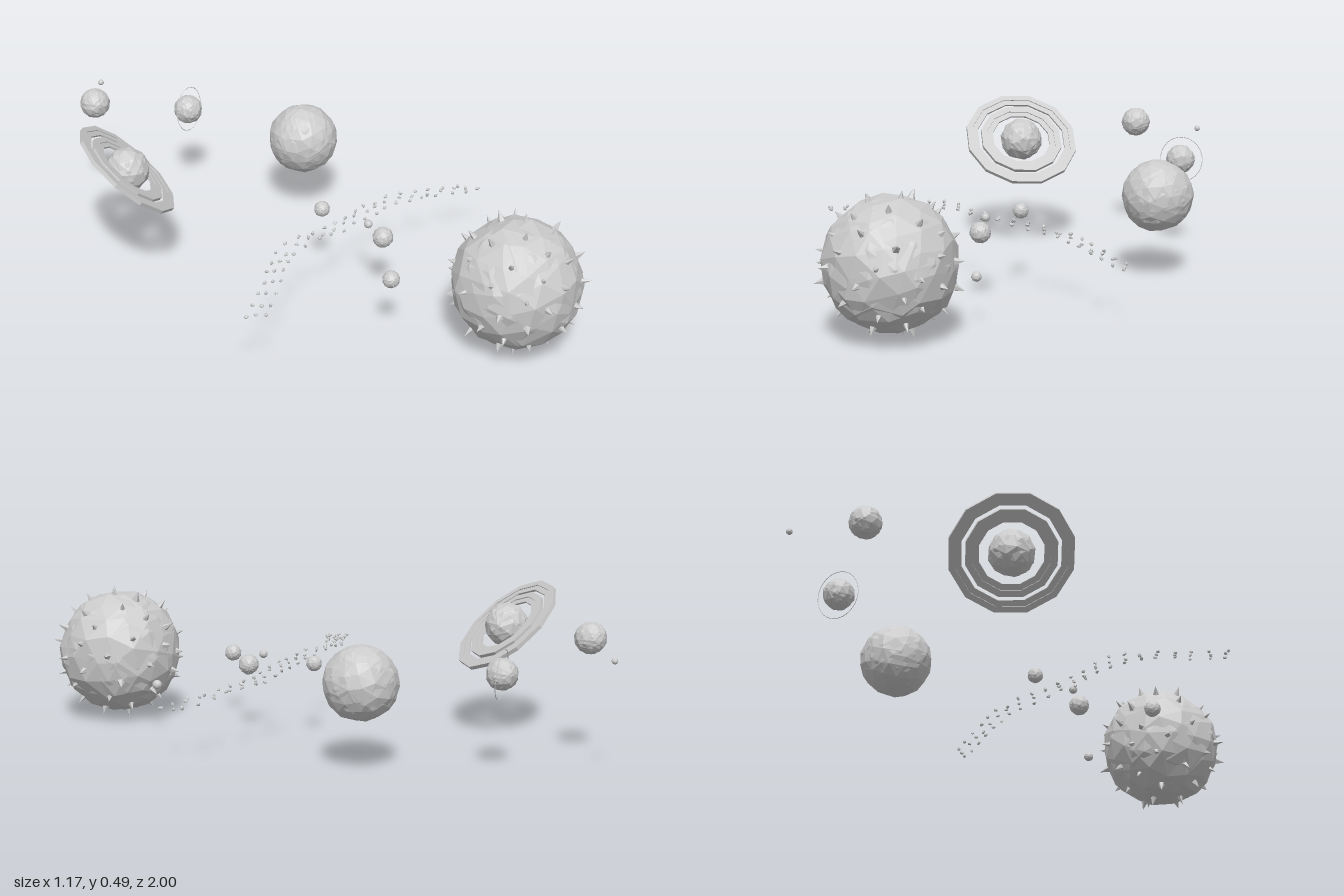
import * as THREE from 'three';
import { mergeGeometries } from 'three/addons/utils/BufferGeometryUtils.js';

const material = new THREE.MeshStandardMaterial({ color: 0xcccccc, flatShading: true, side: THREE.DoubleSide });

// Small seeded random generator
function seeded(seed) {
  let s = seed;
  return () => {
    s = (s * 16807) % 2147483647;
    return s / 2147483647;
  };
}

// Faceted ball: coincident corners are shifted together so the shell stays closed
function rockyShell(radius, detail, rough, seed) {
  const geometry = new THREE.IcosahedronGeometry(1, detail);
  const rand = seeded(seed * 7919 + 13);
  const position = geometry.attributes.position;
  const moved = new Map();
  const v = new THREE.Vector3();
  for (let i = 0; i < position.count; i++) {
    v.fromBufferAttribute(position, i);
    const key = v.toArray().map((n) => Math.round(n * 1000)).join();
    if (!moved.has(key)) {
      const shift = new THREE.Vector3(rand() - 0.5, rand() - 0.5, rand() - 0.5).multiplyScalar(0.35 / (detail + 1));
      moved.set(key, v.clone().add(shift).normalize().multiplyScalar(radius * (1 + (rand() - 0.5) * rough)));
    }
    position.setXYZ(i, ...moved.get(key).toArray());
  }
  geometry.computeVertexNormals();
  return geometry;
}

// Two crossing shells give the chipped, cracked surface
function crackedBall(radius, detail, rough, seed) {
  const second = rockyShell(radius, detail, rough, seed + 50);
  second.rotateX(0.7).rotateY(1.1);
  return mergeGeometries([rockyShell(radius, detail, rough, seed), second]);
}

function addMesh(parent, name, geometry, x = 0, y = 0, z = 0) {
  const mesh = new THREE.Mesh(geometry, material);
  mesh.name = name;
  mesh.position.set(x, y, z);
  parent.add(mesh);
  return mesh;
}

// Flat ring with a rectangular section around the y axis
function flatRing(inner, outer, thickness, sides) {
  const h = thickness / 2;
  const section = [[inner, -h], [outer, -h], [outer, h], [inner, h], [inner, -h]];
  return new THREE.LatheGeometry(section.map(([r, y]) => new THREE.Vector2(r, y)), sides);
}

function buildSun() {
  const sun = new THREE.Group();
  sun.name = 'sun';
  sun.position.set(0.083, 0.22, 0.783);
  addMesh(sun, 'sunBody', crackedBall(0.202, 2, 0.05, 3));

  // Spikes spread evenly over the surface
  const rand = seeded(421);
  const up = new THREE.Vector3(0, 1, 0);
  const count = 58;
  const spikes = [];
  for (let i = 0; i < count; i++) {
    const y = 1 - (2 * (i + 0.5)) / count;
    const angle = i * 2.39996 + (rand() - 0.5) * 0.3;
    const r = Math.sqrt(1 - y * y);
    const direction = new THREE.Vector3(r * Math.cos(angle), y, r * Math.sin(angle));
    const height = 0.045 + rand() * 0.012;
    const cone = new THREE.ConeGeometry(0.016 + rand() * 0.006, height, 5);
    cone.translate(0, 0.175 + height / 2, 0);
    cone.applyQuaternion(new THREE.Quaternion().setFromUnitVectors(up, direction));
    spikes.push(cone);
  }
  addMesh(sun, 'sunSpikes', mergeGeometries(spikes));
  return sun;
}

function buildRingedPlanet() {
  const planet = new THREE.Group();
  planet.name = 'ringedPlanet';
  planet.position.set(-0.34, 0.352, -0.459);
  planet.quaternion.setFromUnitVectors(new THREE.Vector3(0, 1, 0), new THREE.Vector3(0.5, 0.744, 0.44).normalize());
  addMesh(planet, 'ringedPlanetBody', crackedBall(0.073, 1, 0.04, 21));
  // Inner radius, outer radius, thickness
  const bands = [[0.102, 0.122, 0.006], [0.122, 0.144, 0.012], [0.156, 0.176, 0.007], [0.176, 0.196, 0.013]];
  bands.forEach(([inner, outer, thickness], i) => addMesh(planet, `ringBand${i + 1}`, flatRing(inner, outer, thickness, 12)));
  return planet;
}

function buildAsteroidBelt() {
  const belt = new THREE.Group();
  belt.name = 'asteroidBelt';
  const path = new THREE.CatmullRomCurve3([
    [-0.59, 0.213, 0.31], [-0.45, 0.228, 0.245], [-0.27, 0.24, 0.155], [-0.1, 0.238, 0.16],
    [0.1, 0.22, 0.16], [0.25, 0.205, 0.15], [0.4, 0.19, 0.205], [0.58, 0.167, 0.265],
  ].map((p) => new THREE.Vector3(...p)));
  const rand = seeded(77);
  const count = 66;
  for (let i = 0; i < count; i++) {
    const p = path.getPointAt((i + rand() * 0.6) / count);
    const row = ((i % 3) - 1) * 0.027 + (rand() - 0.5) * 0.012;
    const rock = addMesh(belt, 'asteroid', rockyShell(0.0075, 0, 0.4, i + 100), p.x, p.y + (rand() - 0.5) * 0.012, p.z + row);
    rock.scale.set(1.1, 0.7, 0.8);
    rock.rotation.set(rand() * 3, rand() * 3, rand() * 0.6);
  }
  return belt;
}

export function createModel() {
  const model = new THREE.Group();
  model.name = 'planetarySystem';
  model.add(buildSun(), buildRingedPlanet(), buildAsteroidBelt());

  // Name, radius, detail, position
  const balls = [
    ['firstPlanet', 0.016, 1, 0.213, 0.15, 0.543],
    ['secondPlanet', 0.028, 1, -0.134, 0.205, 0.467],
    ['thirdPlanet', 0.034, 1, 0.042, 0.213, 0.295],
    ['moon', 0.014, 1, 0.027, 0.25, 0.247],
    ['fourthPlanet', 0.026, 1, 0.026, 0.237, 0.056],
    ['giantPlanet', 0.117, 2, 0.33, 0.265, -0.283],
    ['tiltedPlanet', 0.05, 1, 0.178, 0.305, -0.68],
    ['outerPlanet', 0.051, 1, -0.108, 0.383, -0.844],
    ['dwarfPlanet', 0.01, 1, 0.061, 0.355, -0.99],
  ];
  balls.forEach(([name, radius, detail, x, y, z], i) =>
    addMesh(model, name, crackedBall(radius, detail, 0.04, 200 + i), x, y, z));

  // Hair-thin upright ring of the tilted planet
  const thinRing = addMesh(model, 'thinRing', new THREE.TorusGeometry(0.076, 0.0012, 4, 32), 0.182, 0.305, -0.68);
  thinRing.quaternion.setFromUnitVectors(new THREE.Vector3(0, 0, 1), new THREE.Vector3(0.2, 0.1, 0.97).normalize());

  return model;
}
